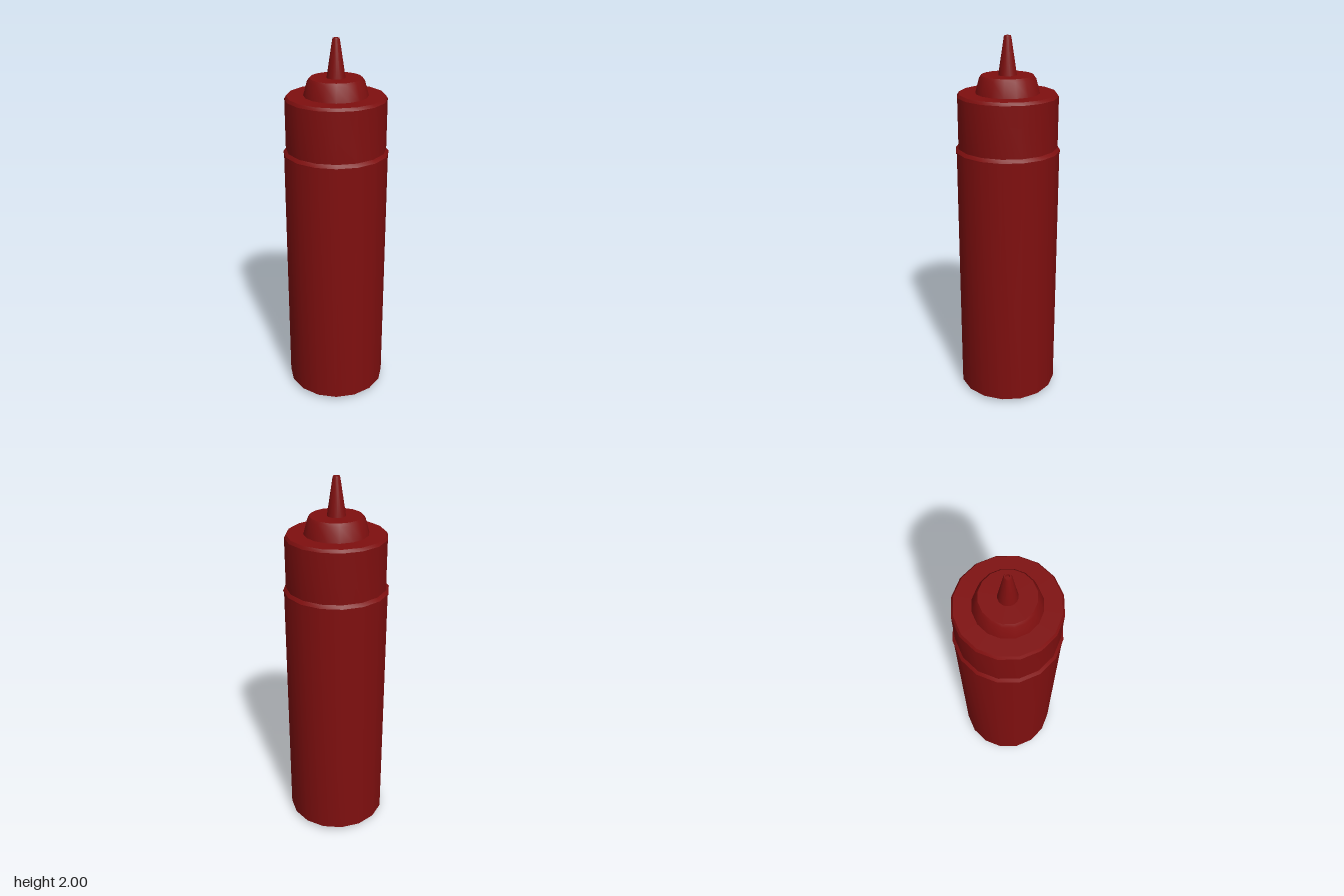
import * as THREE from 'three';
import { toCreasedNormals } from 'three/addons/utils/BufferGeometryUtils.js';

const SIDES = 16;

export function createModel() {
  const group = new THREE.Group();
  group.name = 'squeezeBottle';
  const red = new THREE.MeshStandardMaterial({ color: 0x7f0f0f });

  // Revolve a bottom-to-top [radius, height] profile, keeping its hard edges
  function turned(name, profile) {
    const points = profile.map(([r, y]) => new THREE.Vector2(r, y));
    const geometry = toCreasedNormals(new THREE.LatheGeometry(points, SIDES), Math.PI / 6);
    const mesh = new THREE.Mesh(geometry, red);
    mesh.name = name;
    group.add(mesh);
  }

  // Straight body with a bevelled base
  turned('body', [[0, 0], [0.22, 0], [0.273, 0.025], [0.273, 1.415], [0, 1.415]]);

  // Screw cap with a slightly flared skirt and bevelled top edge
  turned('cap', [[0, 1.412], [0.277, 1.412], [0.277, 1.418], [0.263, 1.435],
    [0.263, 1.7], [0.253, 1.715], [0, 1.715]]);

  // Tapered step on the cap
  turned('capStep', [[0.167, 1.714], [0.146, 1.79], [0.135, 1.805], [0, 1.805]]);

  // Nozzle with a small recessed opening
  turned('nozzle', [[0.048, 1.804], [0.019, 1.993], [0.016, 2], [0.01, 2], [0.009, 1.985], [0, 1.985]]);

  return group;
}
